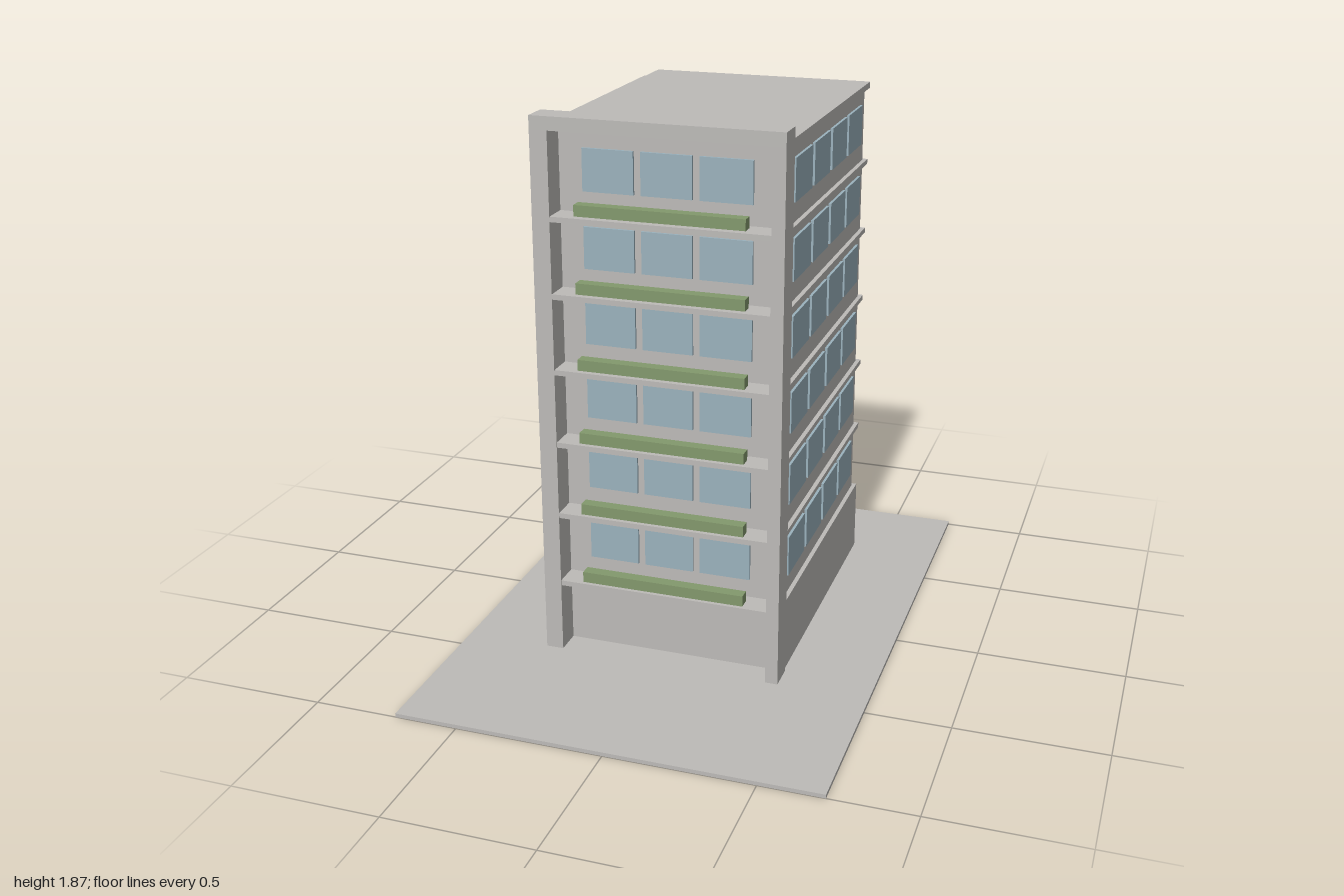
import * as THREE from 'three';

const material = (name, color) => {
  const m = new THREE.MeshStandardMaterial({ color });
  m.name = name;
  return m;
};

export function createModel() {
  const concrete = material('concrete', 0xbdbbb8);
  const glass = material('glass', 0x9bb2bd);
  const green = material('planting', 0x83996d);
  const dark = material('darkGlass', 0x6e7074);

  const model = new THREE.Group();
  model.name = 'apartmentBlock';

  // Box given by its extents along each axis
  function box(name, mat, [x0, x1], [y0, y1], [z0, z1], parent = model) {
    const mesh = new THREE.Mesh(new THREE.BoxGeometry(x1 - x0, y1 - y0, z1 - z0), mat);
    mesh.position.set((x0 + x1) / 2, (y0 + y1) / 2, (z0 + z1) / 2);
    mesh.name = name;
    parent.add(mesh);
    return mesh;
  }

  // Site, base storey and main body
  box('groundPlate', concrete, [-0.715, 0.715], [0, 0.013], [-1, 1]);
  box('base', concrete, [-0.4, 0.4], [0.013, 0.27], [-0.678, 0.348]);
  box('upperWalls', concrete, [-0.385, 0.385], [0.27, 1.81], [-0.66, 0.35]);
  box('roofSlab', concrete, [-0.4, 0.4], [1.808, 1.83], [-0.68, 0.35]);

  // Front portal frame
  const frame = new THREE.Group();
  frame.name = 'frontFrame';
  model.add(frame);
  const frameZ = [0.345, 0.44];
  box('rightPillar', concrete, [-0.425, -0.365], [0.013, 1.825], frameZ, frame);
  box('leftPillar', concrete, [0.362, 0.405], [0.013, 1.825], frameZ, frame);
  box('lintel', concrete, [-0.425, 0.405], [1.825, 1.87], frameZ, frame);

  // Thick wall panel on the right side
  box('sidePanel', concrete, [-0.425, -0.385], [0.265, 1.82], [-0.6, 0.345]);

  // Storeys: slab, balcony planter and windows
  const slabTops = [0.274, 0.526, 0.782, 1.037, 1.295, 1.551];
  const sills = [0.34, 0.6, 0.852, 1.11, 1.365, 1.62];
  const frontWindows = [[-0.284, -0.112], [-0.088, 0.082], [0.106, 0.28]];
  const sideWindows = [[0.082, 0.286], [-0.146, 0.055], [-0.375, -0.175], [-0.6, -0.402]];

  slabTops.forEach((top, i) => {
    const storey = new THREE.Group();
    storey.name = `storey${i + 1}`;
    model.add(storey);

    if (i > 0) box('floorSlab', concrete, [-0.4, 0.4], [top - 0.018, top], [-0.677, 0.345], storey);
    box('balcony', concrete, [-0.365, 0.362], [top - 0.018, top], [0.345, 0.438], storey);
    box('planter', green, [-0.284, 0.28], [top + 0.007, top + 0.044], [0.397, 0.437], storey);

    const glassY = [sills[i], sills[i] + 0.14];
    for (const x of frontWindows) box('frontWindow', glass, x, glassY, [0.35, 0.359], storey);
    for (const z of sideWindows) box('leftWindow', glass, [0.385, 0.394], glassY, z, storey);

    // Narrow slots in the side panel
    const slotY = [0.32 + i * 0.256, 0.478 + i * 0.256];
    for (let k = 0; k < 6; k++) {
      const z = -0.536 + k * 0.144;
      box('rightWindow', dark, [-0.43, -0.424], slotY, [z - 0.029, z + 0.029], storey);
    }
  });

  return model;
}
